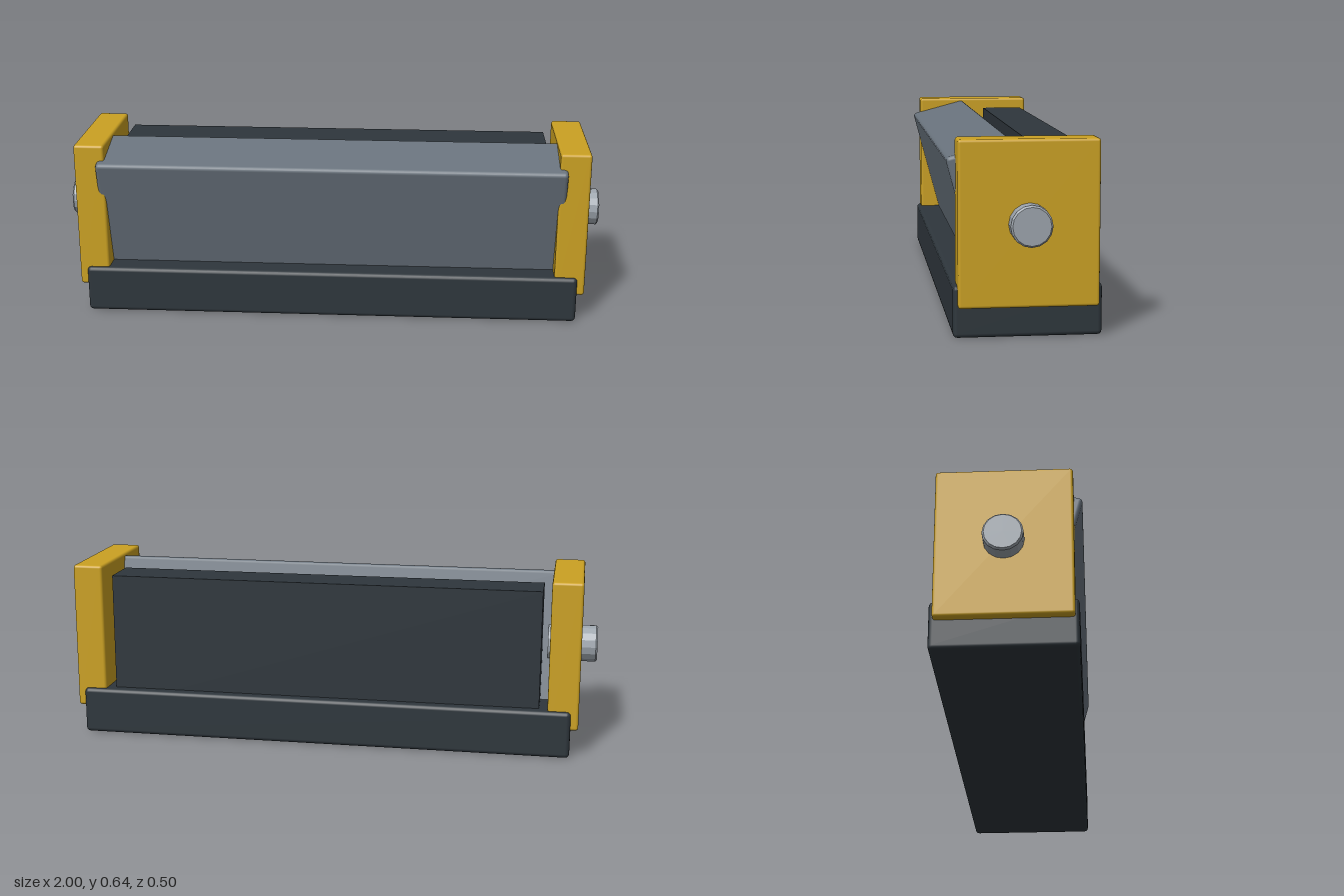
import * as THREE from 'three';
import { RoundedBoxGeometry } from 'three/addons/geometries/RoundedBoxGeometry.js';

const material = (name, color) => {
  const m = new THREE.MeshStandardMaterial({ color });
  m.name = name;
  return m;
};

export function createModel() {
  const group = new THREE.Group();
  const charcoal = material('charcoal', 0x2e363c);
  const steel = material('steel grey', 0x69737d);
  const yellow = material('safety yellow', 0xcba122);
  const pale = material('pale metal', 0x9ca4ac);
  const midZ = -0.0075;

  const add = (name, geometry, mat, x, y, z) => {
    const mesh = new THREE.Mesh(geometry, mat);
    mesh.name = name;
    mesh.position.set(x, y, z);
    group.add(mesh);
    return mesh;
  };

  // Base block
  add('base', new RoundedBoxGeometry(1.83, 0.172, 0.486, 2, 0.015), charcoal, 0, 0.086, midZ);

  // Upright block at the back
  add('backBlock', new THREE.BoxGeometry(1.6, 0.505, 0.16), charcoal, 0, 0.3525, -0.13);

  // Bar leaning forward, pivoted between the end plates
  const tilt = Math.PI / 12, height = 0.5;
  const bar = add('tiltedBar', new RoundedBoxGeometry(1.72, height, 0.225, 2, 0.014), steel, 0,
    0.608 - (height / 2) * Math.cos(tilt), 0.145 - (height / 2) * Math.sin(tilt));
  bar.rotation.x = tilt;

  // Axle profile with small chamfers on the outer rims
  const r = 0.068, c = 0.006;
  const profile = [[0, 0.82], [r, 0.82], [r, 1 - c], [r - c, 1], [0, 1]]
    .map(([px, py]) => new THREE.Vector2(px, py));
  const axleGeometry = new THREE.LatheGeometry(profile, 16).toNonIndexed();
  axleGeometry.computeVertexNormals();

  // End plates and axle ends, one per side
  for (const side of [1, -1]) {
    const label = side > 0 ? 'left' : 'right';
    add(label + 'EndPlate', new RoundedBoxGeometry(0.112, 0.543, 0.458, 2, 0.01), yellow,
      side * 0.887, 0.3735, midZ);
    const axle = add(label + 'AxleEnd', axleGeometry, pale, 0, 0.374, midZ);
    axle.rotation.z = -side * Math.PI / 2;
  }

  return group;
}
